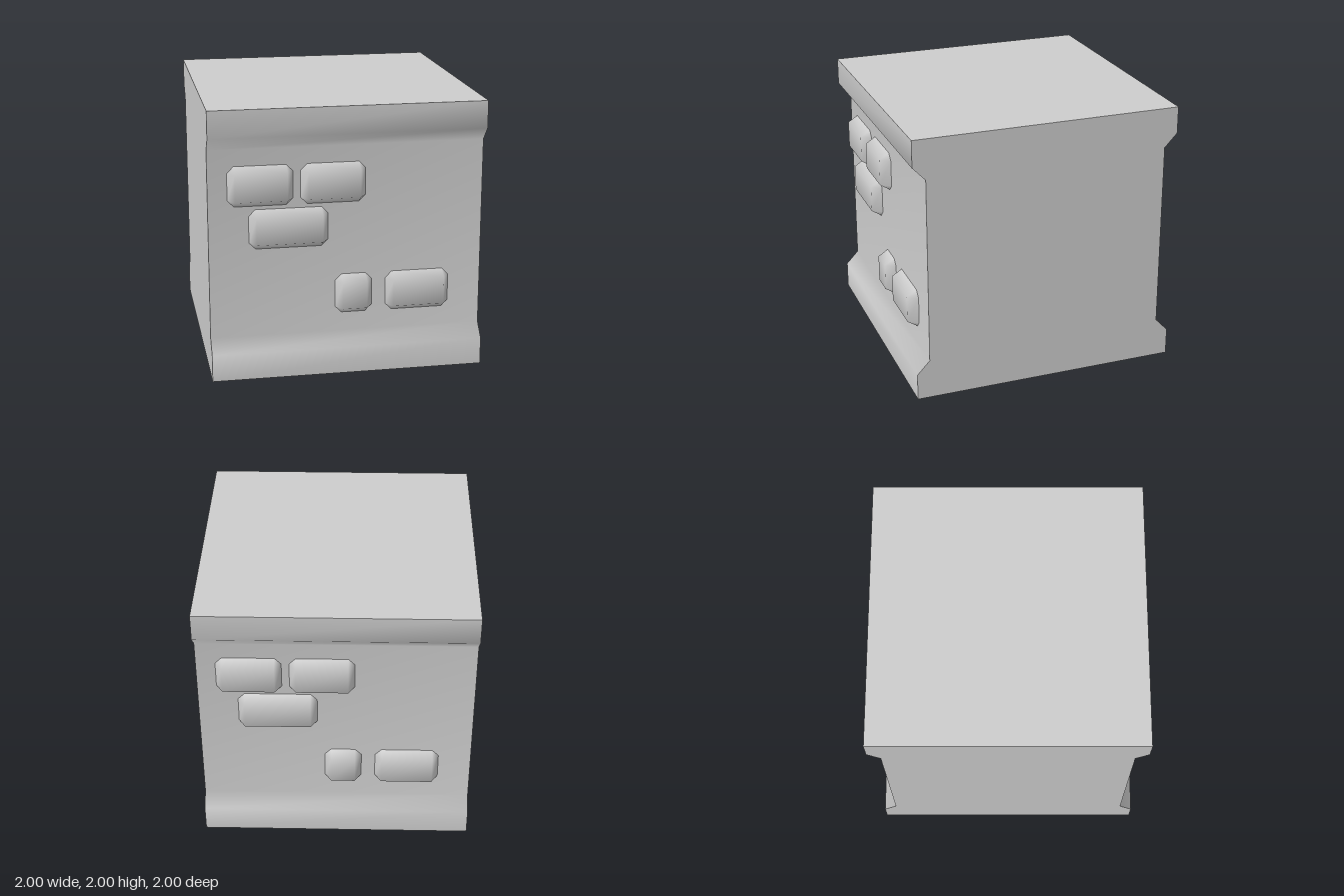
import * as THREE from 'three';

// Wall profile from top to bottom: [height, distance from centre]
const PROFILE = [[2, 1], [1.8, 1], [1.7, 0.905], [0.3, 0.905], [0.2, 1], [0, 1]];
// Raised bricks: [left, right, bottom, top]
const BRICKS = [
  [-0.86, -0.39, 1.28, 1.575],
  [-0.335, 0.135, 1.28, 1.575],
  [-0.71, -0.137, 0.96, 1.253],
  [-0.085, 0.187, 0.44, 0.735],
  [0.288, 0.76, 0.44, 0.735],
];

// Smooth-shaded sheet bent along the profile
function wallGeometry() {
  const geo = new THREE.PlaneGeometry(2, 2, 1, PROFILE.length - 1);
  const pos = geo.attributes.position;
  for (let i = 0; i < pos.count; i++) {
    const [y, z] = PROFILE[Math.floor(i / 2)];
    pos.setY(i, y);
    pos.setZ(i, z);
  }
  geo.computeVertexNormals();
  return geo;
}

// Bevelled brick: per corner one face vertex and two base vertices
function brickGeometry([x0, x1, y0, y1]) {
  const c = 0.048, back = 0.905, face = 0.98;
  const points = [], index = [];
  const corners = [[x0, y0, 1, 1], [x1, y0, -1, 1], [x1, y1, -1, -1], [x0, y1, 1, -1]];
  corners.forEach(([x, y, sx, sy], k) => {
    const onSide = [x, y + sy * c, back], onEnd = [x + sx * c, y, back];
    points.push(x + sx * c, y + sy * c, face);
    // base vertices in anticlockwise order
    points.push(...(k % 2 ? onEnd : onSide), ...(k % 2 ? onSide : onEnd));
    const a = k * 3, n = ((k + 1) % 4) * 3;
    index.push(a, a + 1, a + 2); // cut corner
    index.push(a, a + 2, n + 1, a, n + 1, n); // sloped edge
  });
  index.push(0, 3, 6, 0, 6, 9); // outer face
  const geo = new THREE.BufferGeometry();
  geo.setAttribute('position', new THREE.Float32BufferAttribute(points, 3));
  geo.setIndex(index);
  geo.computeVertexNormals();
  return geo;
}

export function createModel() {
  const stone = new THREE.MeshStandardMaterial({ color: 0xcccccc });
  stone.name = 'grey stone';
  const model = new THREE.Group();
  model.name = 'brickBlock';

  const add = (parent, name, geo) => {
    const mesh = new THREE.Mesh(geo, stone);
    mesh.name = name;
    parent.add(mesh);
  };

  // Front and back walls with their bricks
  ['front', 'back'].forEach((name, i) => {
    const side = new THREE.Group();
    side.name = name + 'Side';
    side.rotation.y = i * Math.PI;
    add(side, name + 'Wall', wallGeometry());
    BRICKS.forEach((b, k) => add(side, name + 'Brick' + (k + 1), brickGeometry(b)));
    model.add(side);
  });

  // Flat ends cut to the profile
  const outline = [
    ...PROFILE.map(([y, z]) => new THREE.Vector2(z, y)),
    ...[...PROFILE].reverse().map(([y, z]) => new THREE.Vector2(-z, y)),
  ];
  for (const s of [1, -1]) {
    const end = new THREE.ShapeGeometry(new THREE.Shape(outline));
    end.rotateY(s * Math.PI / 2).translate(s, 0, 0);
    add(model, s > 0 ? 'leftEnd' : 'rightEnd', end);
  }

  // Top and bottom
  add(model, 'top', new THREE.PlaneGeometry(2, 2).rotateX(-Math.PI / 2).translate(0, 2, 0));
  add(model, 'bottom', new THREE.PlaneGeometry(2, 2).rotateX(Math.PI / 2));
  return model;
}
